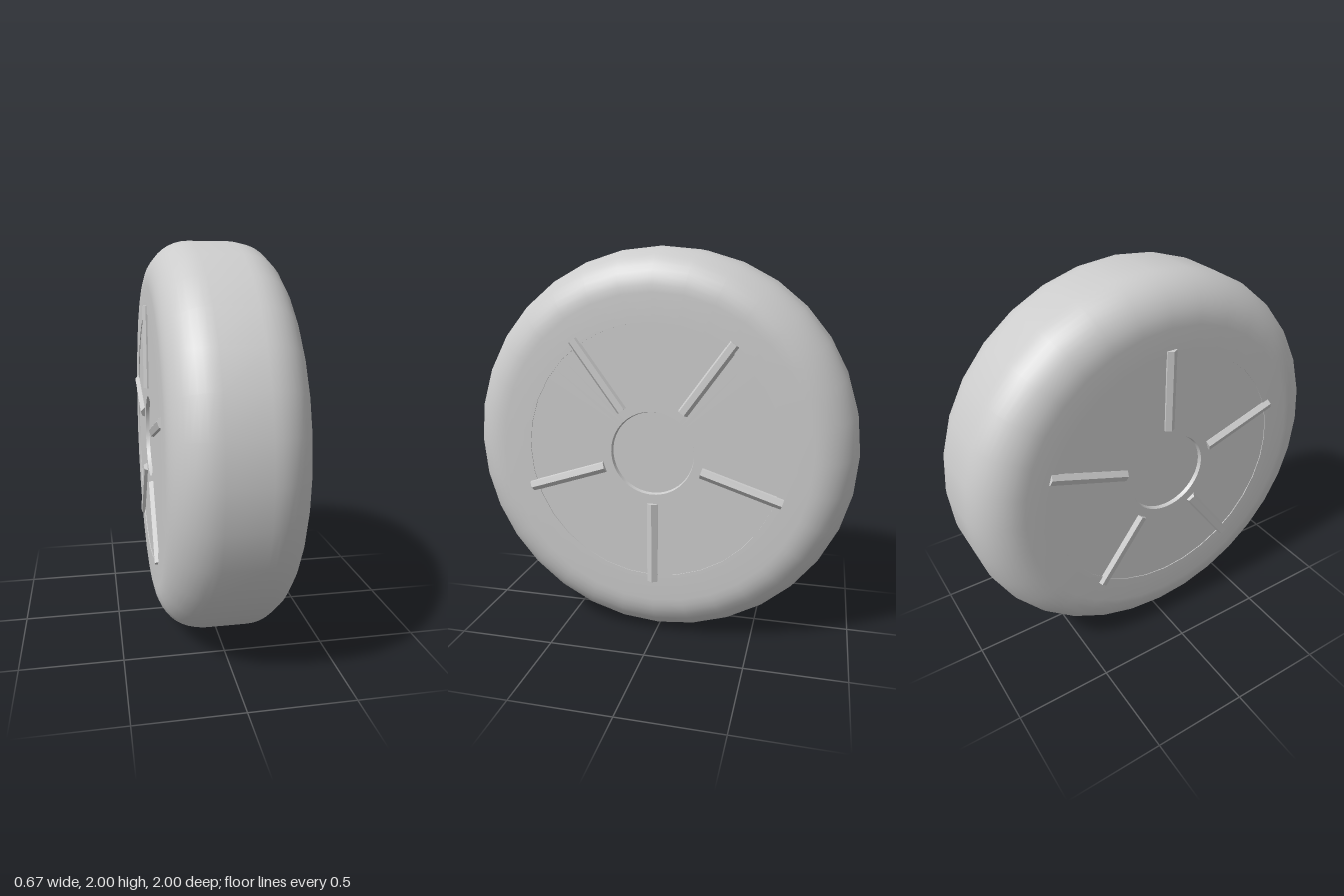
import * as THREE from 'three';
import { toCreasedNormals } from 'three/addons/utils/BufferGeometryUtils.js';

const grey = new THREE.MeshStandardMaterial({ color: 0xcccccc });
const HALF = 0.315; // half width of the tyre
const deg = THREE.MathUtils.degToRad;

// Revolve [radius, x] points about the x axis, ordered from -x to +x.
function revolve(points, segments) {
  const geo = new THREE.LatheGeometry(points.map(([r, x]) => new THREE.Vector2(r, x)), segments);
  geo.rotateZ(-Math.PI / 2);
  return toCreasedNormals(geo, deg(35));
}

function addMesh(parent, name, geo) {
  const mesh = new THREE.Mesh(geo, grey);
  mesh.name = name;
  parent.add(mesh);
  return mesh;
}

// Tyre: flat tread, round shoulders, flat side walls, open in the middle
function tyreGeometry() {
  const corner = 0.215, steps = 10, half = [];
  for (let i = 0; i <= steps; i++) {
    const a = (i / steps) * Math.PI / 2;
    half.push([1 - corner + corner * Math.cos(a), HALF - corner + corner * Math.sin(a)]);
  }
  half.push([0.645, HALF], [0.645, HALF - 0.02]);
  const other = half.map(([r, x]) => [r, -x]).reverse();
  return revolve([...other, ...half], 32);
}

// One side of the wheel, built for +x: rim disc, recessed hub and five spokes
function wheelFace() {
  const face = new THREE.Group();
  const level = HALF - 0.004;
  addMesh(face, 'rimDisc', revolve([[0.65, level - 0.03], [0.65, level], [0.212, level], [0.207, level - 0.02]], 64));
  addMesh(face, 'hub', revolve([[0.212, level - 0.02], [0, level - 0.02]], 64));

  const spokeGeo = new THREE.CylinderGeometry(0.031, 0.031, 0.42, 6, 1, false, Math.PI / 2).toNonIndexed();
  spokeGeo.computeVertexNormals();
  const twists = [0, -12, -24, 24, 12]; // six-sided bars turn about their own length
  twists.forEach((twist, i) => {
    const arm = new THREE.Group();
    arm.name = 'spokeArm';
    arm.rotation.x = deg(72 * i);
    const spoke = addMesh(arm, 'spoke', spokeGeo);
    spoke.position.set(HALF - 0.011, -0.47, 0);
    spoke.rotation.y = deg(twist);
    face.add(arm);
  });
  return face;
}

export function createModel() {
  const wheel = new THREE.Group();
  wheel.name = 'wheel';
  addMesh(wheel, 'tyre', tyreGeometry());

  const leftFace = wheelFace();
  leftFace.name = 'leftFace';
  const rightFace = wheelFace();
  rightFace.name = 'rightFace';
  rightFace.rotation.z = Math.PI;
  wheel.add(leftFace, rightFace);

  wheel.position.y = 1;
  const model = new THREE.Group();
  model.add(wheel);
  return model;
}
